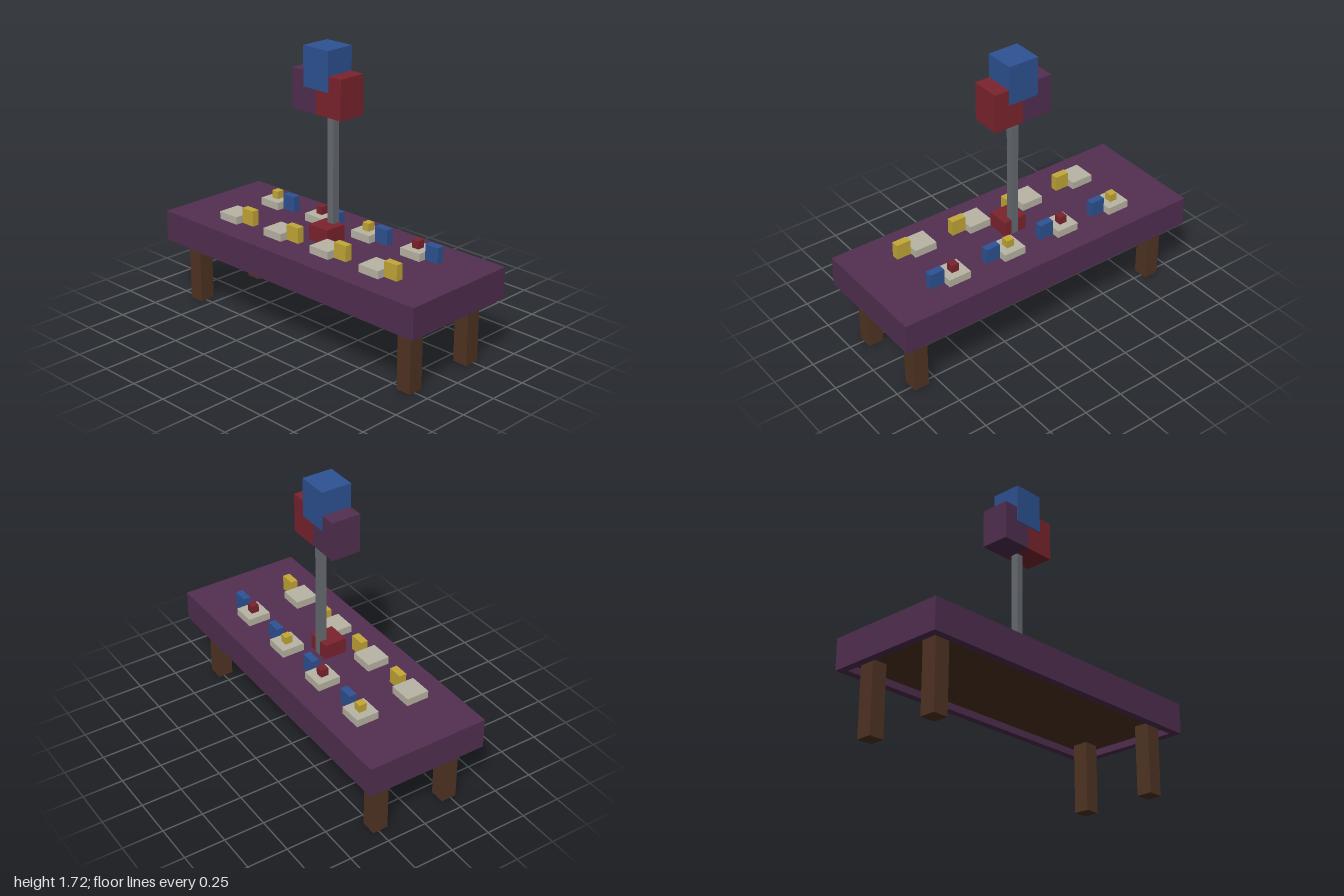
import * as THREE from 'three';

const mat = (name, color) => new THREE.MeshStandardMaterial({ name, color });

export function createModel() {
  const purple = mat('purple cloth', 0x522f51);
  const wood = mat('dark wood', 0x503423);
  const red = mat('deep red', 0x7c242e);
  const blue = mat('blue', 0x2e5394);
  const gold = mat('gold', 0xc4a837);
  const cream = mat('cream', 0xbab5a5);
  const grey = mat('grey metal', 0x676b70);

  const model = new THREE.Group();
  model.name = 'partyTable';

  // box given by its extents on each axis
  const block = (name, material, [x0, x1], [y0, y1], [z0, z1], parent = model) => {
    const mesh = new THREE.Mesh(new THREE.BoxGeometry(x1 - x0, y1 - y0, z1 - z0), material);
    mesh.position.set((x0 + x1) / 2, (y0 + y1) / 2, (z0 + z1) / 2);
    mesh.name = name;
    parent.add(mesh);
    return mesh;
  };

  const bottom = 0.385, top = 0.573, under = 0.435;

  // tablecloth: solid top and an overhanging skirt around the board
  block('tableclothTop', purple, [-1, 1], [under, top], [-0.38, 0.38]);
  const rect = (Type, w, d) => new Type([[-w, -d], [w, -d], [w, d], [-w, d]].map(p => new THREE.Vector2(...p)));
  const outline = rect(THREE.Shape, 1, 0.38);
  outline.holes.push(rect(THREE.Path, 0.953, 0.333));
  const skirtGeometry = new THREE.ExtrudeGeometry(outline, { depth: under - bottom, bevelEnabled: false });
  skirtGeometry.rotateX(-Math.PI / 2);
  const skirt = new THREE.Mesh(skirtGeometry, purple);
  skirt.position.y = bottom;
  skirt.name = 'tableclothSkirt';
  model.add(skirt);

  // wooden board and legs
  block('tableBoard', wood, [-0.953, 0.953], [under - 0.008, under + 0.01], [-0.333, 0.333]);
  for (const sx of [-1, 1]) for (const sz of [-1, 1]) {
    const leg = block('leg', wood, [0.81, 0.905], [0, under], [0.19, 0.286]);
    leg.position.x *= sx;
    leg.position.z *= sz;
  }

  // place settings: plate and cup front and back, with food on the back row
  for (let i = 0; i < 4; i++) {
    const x = -0.669 + i * 0.381;
    for (const back of [false, true]) {
      const s = new THREE.Group();
      s.name = back ? 'backPlaceSetting' : 'frontPlaceSetting';
      s.position.set(x, top, back ? -0.17 : 0.167);
      block('plate', cream, [0, 0.144], [0, 0.047], [-0.071, 0.071], s);
      block('cup', back ? blue : gold, [0.145, 0.237], [0, 0.095], [-0.023, 0.023], s);
      if (back) block('food', i % 2 ? red : gold, [0.048, 0.095], [0.047, 0.095], [-0.024, 0.024], s);
      model.add(s);
    }
  }

  // centrepiece: weight, pole and three balloons
  const centre = new THREE.Group();
  centre.name = 'centrepiece';
  model.add(centre);
  block('weight', red, [-0.055, 0.093], [top, 0.668], [-0.045, 0.097], centre);
  block('pole', grey, [0, 0.045], [top, 1.34], [-0.047, 0], centre);
  block('purpleBalloon', purple, [-0.192, 0], [1.336, 1.573], [-0.09, 0.09], centre);
  block('redBalloon', red, [0, 0.19], [1.336, 1.573], [-0.09, 0.09], centre);
  block('blueBalloon', blue, [-0.097, 0.095], [1.48, 1.717], [-0.094, 0.094], centre);

  return model;
}
